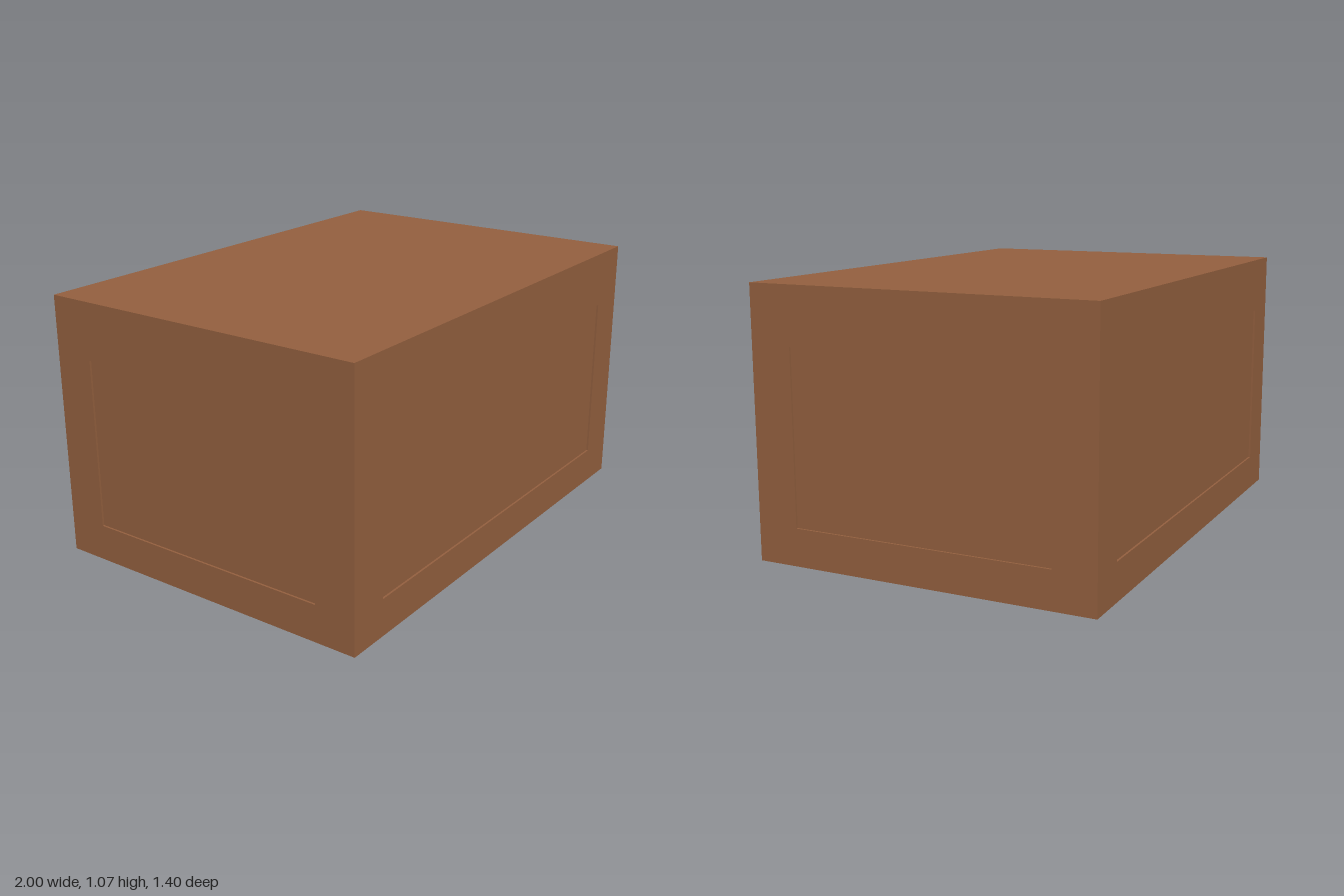
import * as THREE from 'three';

const W = 2, H = 1.07, D = 1.4;          // overall size
const LIP = 0.008;                       // recess depth of the panels
const POST = 0.17;                       // corner post width
const RAIL = 0.085;                      // bottom rail thickness
const PANEL_LOW = 0.15, PANEL_HIGH = 0.84;

// Rectangular tube without top and bottom, standing on y = 0
function tube(width, height, depth) {
  const geometry = new THREE.CylinderGeometry(Math.SQRT1_2, Math.SQRT1_2, height, 4, 1, true)
    .rotateY(Math.PI / 4).scale(width, 1, depth).translate(0, height / 2, 0).toNonIndexed();
  geometry.computeVertexNormals();
  return geometry;
}

const rectangle = (x, low, high) =>
  [[-x, low], [x, low], [x, high], [-x, high]].map(c => new THREE.Vector2(...c));

// Wall frame with a rectangular opening for the panel
function wallFrame(width) {
  const frame = new THREE.Shape(rectangle(width / 2, 0, H));
  frame.holes.push(new THREE.Path(rectangle(width / 2 - POST, PANEL_LOW, PANEL_HIGH).reverse()));
  return new THREE.ExtrudeGeometry(frame, { depth: LIP, bevelEnabled: false });
}

export function createModel() {
  const model = new THREE.Group();
  model.name = 'crate';
  const wood = new THREE.MeshStandardMaterial({ color: 0x94603f, side: THREE.DoubleSide });
  wood.name = 'brown wood';

  const add = (name, geometry, x = 0, y = 0, z = 0) => {
    const mesh = new THREE.Mesh(geometry, wood);
    mesh.name = name;
    mesh.position.set(x, y, z);
    model.add(mesh);
    return mesh;
  };

  // Four framed walls
  ['front', 'left', 'back', 'right'].forEach((side, i) => {
    const [width, distance] = i % 2 ? [D, W / 2] : [W, D / 2];
    const angle = i * Math.PI / 2, r = distance - LIP;
    add(side + 'Frame', wallFrame(width), Math.sin(angle) * r, 0, Math.cos(angle) * r).rotation.y = angle;
  });

  // Flat lid
  add('lid', new THREE.BoxGeometry(W, 0.01, D), 0, H - 0.005, 0);

  // Body: its sides are the recessed panels, its raised underside closes the base
  const top = H - 0.01;
  add('panelBody', new THREE.BoxGeometry(W - 2 * LIP, top - PANEL_LOW, D - 2 * LIP), 0, (PANEL_LOW + top) / 2, 0);

  // Inner faces of the hollow bottom rails
  add('bottomRails', tube(W - 2 * RAIL, PANEL_LOW, D - 2 * RAIL));

  // Hollow feet of the corner posts
  const size = POST - LIP, inset = (POST + LIP) / 2;
  for (const sx of [-1, 1]) for (const sz of [-1, 1]) {
    add('cornerFoot', tube(size, PANEL_LOW, size), sx * (W / 2 - inset), 0, sz * (D / 2 - inset));
  }
  return model;
}
